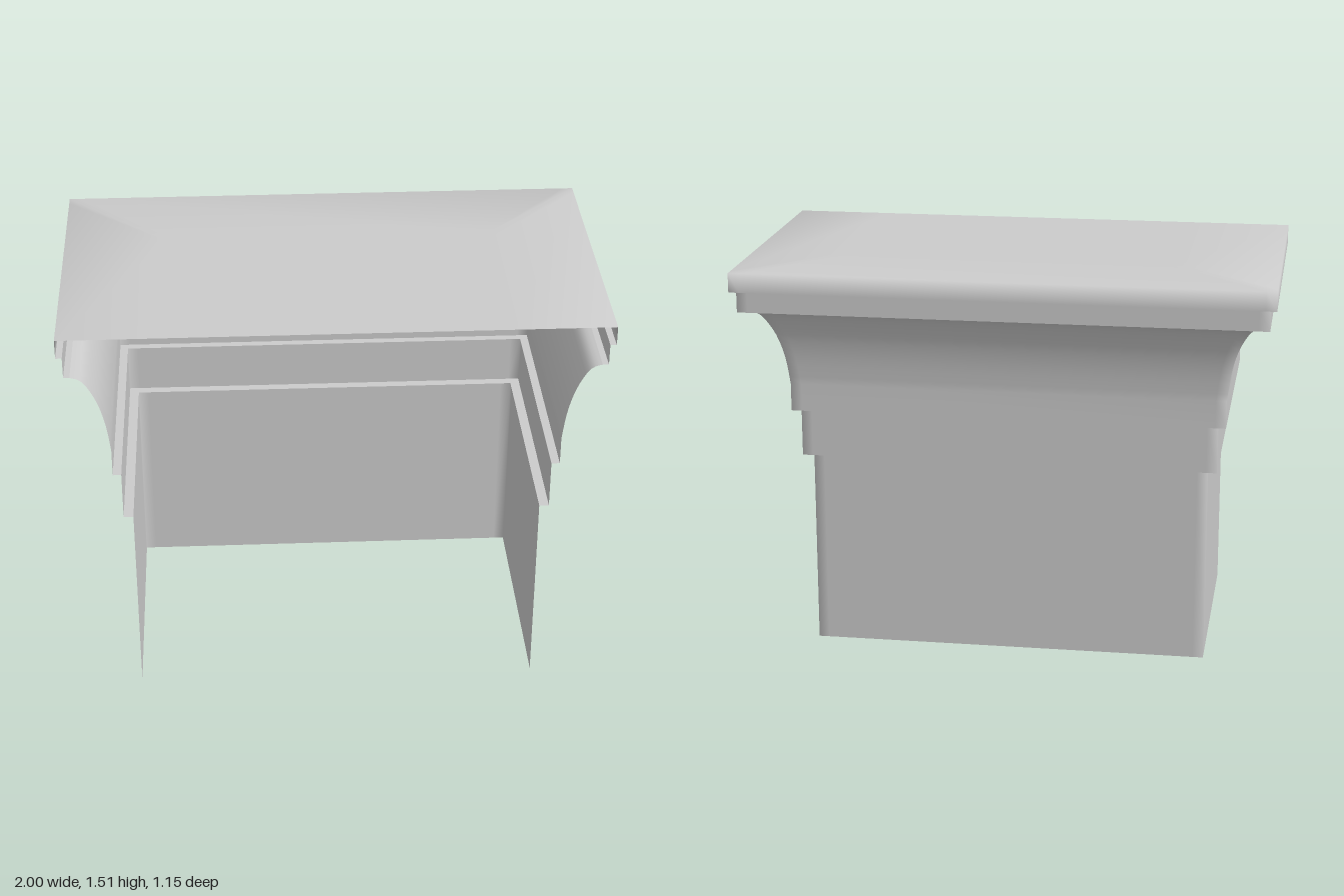
import * as THREE from 'three';

const HALF_X = 0.755, BACK_Z = 0.33, FRONT_Z = 0.575; // shaft footprint, open at the front
const LOOP = 0.04; // support loop beside each corner

const material = new THREE.MeshStandardMaterial({ color: 0xcccccc, side: THREE.DoubleSide });

// U-shaped plan (left leg, back, right leg) pushed outward by an offset
function plan(offset) {
  const x = HALF_X + offset, z = -(BACK_Z + offset);
  const half = [[x, FRONT_Z], [x, z + LOOP], [x, z], [x - LOOP, z]];
  return [...half, ...half.map(([px, pz]) => [-px, pz]).reverse()];
}

// Sweep a profile of [offset, y] points round the plan with mitred corners
function sweep(name, profile) {
  const positions = [], indices = [];
  const rows = profile.map(([offset]) => plan(offset));
  const n = rows[0].length;
  rows.forEach((row, j) => row.forEach(([x, z]) => positions.push(x, profile[j][1], z)));
  for (let j = 0; j < rows.length - 1; j++) {
    for (let i = 0; i < n - 1; i++) {
      const a = j * n + i, b = a + 1, c = a + n, d = c + 1;
      indices.push(a, b, c, b, d, c);
    }
  }
  const geometry = new THREE.BufferGeometry();
  geometry.setAttribute('position', new THREE.Float32BufferAttribute(positions, 3));
  geometry.setIndex(indices);
  geometry.computeVertexNormals();
  const mesh = new THREE.Mesh(geometry, material);
  mesh.name = name;
  return mesh;
}

export function createModel() {
  const group = new THREE.Group();
  group.name = 'pilasterCapital';

  // Concave moulding: short upright foot, then a curve flaring outward
  const coveCurve = new THREE.SplineCurve([
    [0.067, 1.05], [0.08, 1.15], [0.103, 1.24], [0.135, 1.31], [0.165, 1.348], [0.2, 1.36],
  ].map(([o, y]) => new THREE.Vector2(o, y)));
  const cove = [[0.067, 0.945], ...coveCurve.getPoints(14).map((p) => [p.x, p.y])];

  group.add(
    sweep('shaft', [[0, 0], [0, 0.76]]),
    sweep('neckLedge', [[0, 0.76], [0.036, 0.76]]),
    sweep('neckBand', [[0.036, 0.76], [0.036, 0.945]]),
    sweep('coveLedge', [[0.036, 0.945], [0.067, 0.945]]),
    sweep('cove', cove),
    sweep('slabLedge', [[0.2, 1.36], [0.222, 1.36]]),
    sweep('slab', [[0.222, 1.36], [0.222, 1.44]]),
    sweep('capLedge', [[0.222, 1.44], [0.245, 1.44]]),
    // Fascia and top border share normals for a soft rim
    sweep('cap', [[0.245, 1.44], [0.245, 1.512], [-0.125, 1.512]]),
  );

  // Flat centre of the top
  const inX = HALF_X - 0.125, inZ = -(BACK_Z - 0.125);
  const top = new THREE.Mesh(
    new THREE.PlaneGeometry(2 * inX, FRONT_Z - inZ).rotateX(-Math.PI / 2), material);
  top.position.set(0, 1.512, (FRONT_Z + inZ) / 2);
  top.name = 'capTop';
  group.add(top);

  return group;
}
